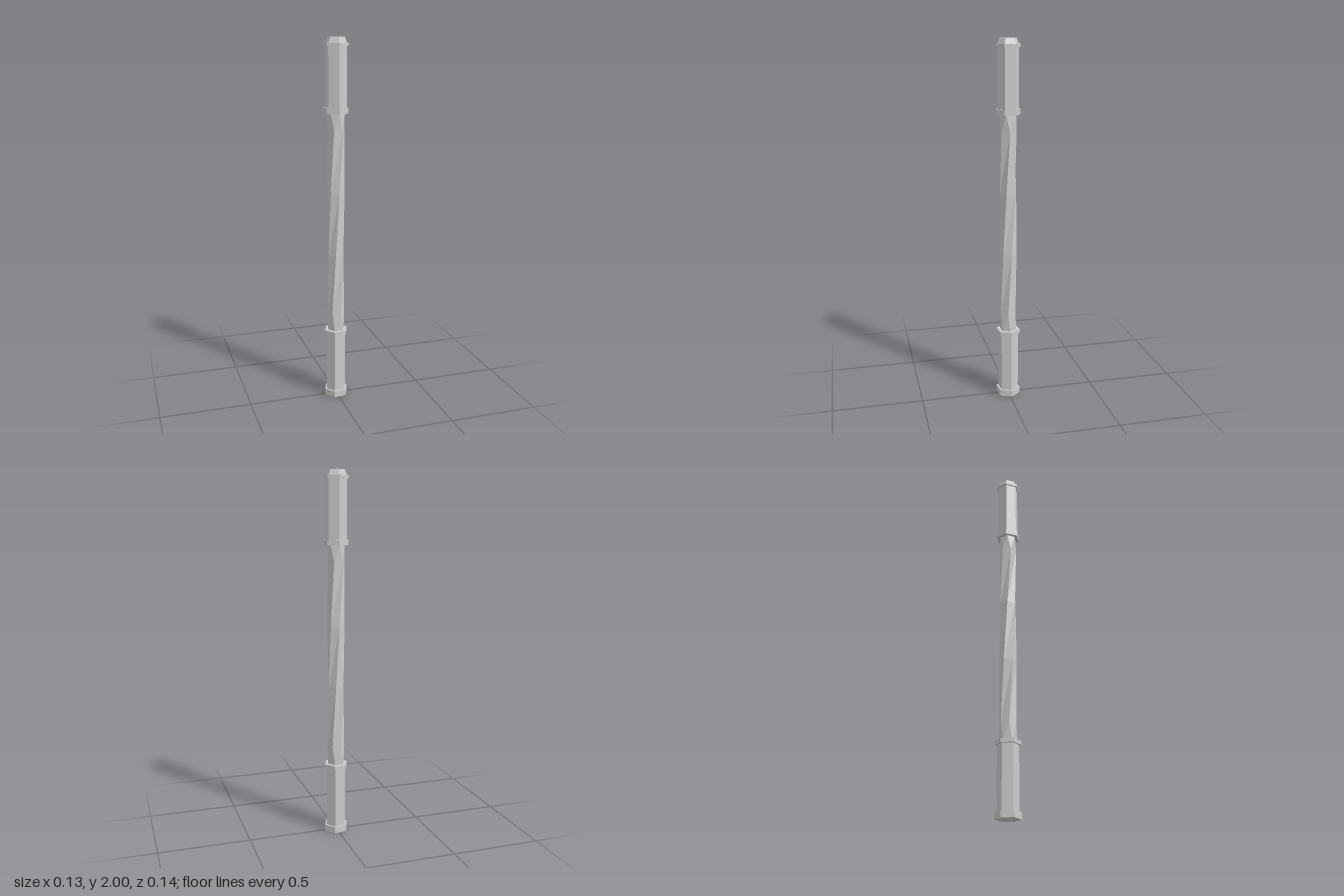
import * as THREE from 'three';

const material = new THREE.MeshStandardMaterial({ color: 0xcccccc, flatShading: true });
const rad = THREE.MathUtils.degToRad;

export function createModel() {
  const model = new THREE.Group();

  // Six-sided block between two heights, turned about the vertical axis
  function hexBlock(name, y0, y1, rBottom, rTop, turn) {
    const geometry = new THREE.CylinderGeometry(rTop, rBottom, y1 - y0, 6, 1, false, rad(turn));
    const mesh = new THREE.Mesh(geometry, material);
    mesh.name = name;
    mesh.position.y = (y0 + y1) / 2;
    model.add(mesh);
  }

  // Lower end
  const low = 38, high = 1;
  hexBlock('footCollar', 0, 0.036, 0.068, 0.068, low);
  hexBlock('lowerGrip', 0.036, 0.376, 0.057, 0.057, low);
  hexBlock('lowerCollar', 0.376, 0.397, 0.068, 0.068, low);

  // Upper end with its tapered cap
  hexBlock('upperCollar', 1.61, 1.64, 0.068, 0.068, high);
  hexBlock('upperGrip', 1.64, 1.955, 0.059, 0.059, high);
  hexBlock('topCollar', 1.955, 1.97, 0.068, 0.068, high);
  hexBlock('cap', 1.97, 2, 0.058, 0.046, high);

  // Twisted shaft: each ring is set to its own height and turn (top to bottom)
  const rings = [[1.615, 5], [1.52, 31], [1.18, 7], [0.84, -17], [0.5, -41], [0.39, -24]];
  const shaft = new THREE.CylinderGeometry(0.047, 0.047, 1, 6, rings.length - 1, true);
  const position = shaft.attributes.position;
  for (let i = 0; i < position.count; i++) {
    const [y, turn] = rings[Math.floor(i / 7)];
    const angle = rad(turn + (i % 7) * 60);
    position.setXYZ(i, 0.047 * Math.sin(angle), y, 0.047 * Math.cos(angle));
  }
  shaft.computeVertexNormals();
  const shaftMesh = new THREE.Mesh(shaft, material);
  shaftMesh.name = 'twistedShaft';
  model.add(shaftMesh);

  return model;
}
